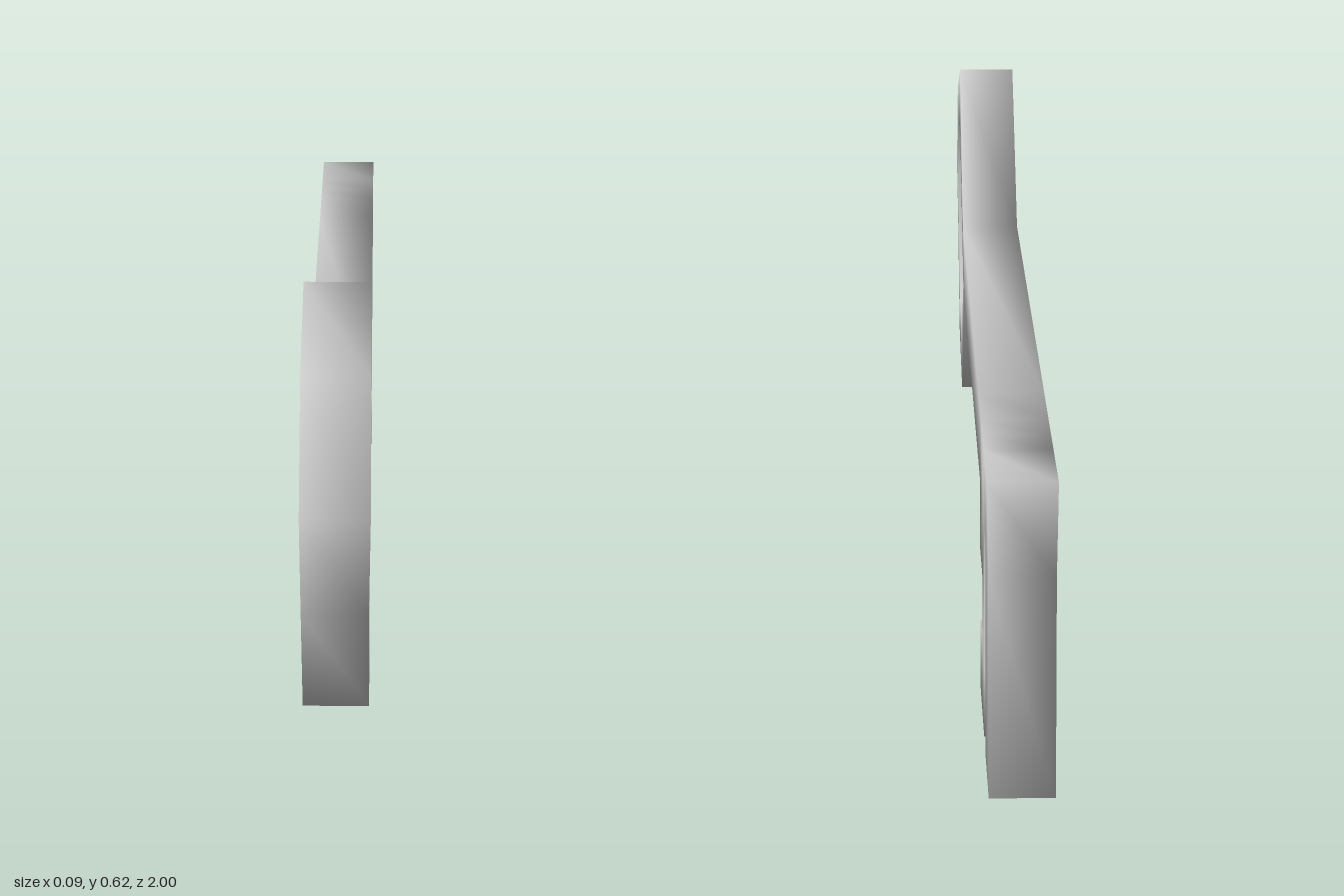
import * as THREE from 'three';

// Builds a softly shaded plate from quads given as [z, y] corners.
// Both faces are filled, and every edge used by a single quad gets a side wall.
function plate(quads, halfWidth) {
  const position = [], index = [], ids = new Map(), edges = new Map();
  const vertex = ([z, y]) => {
    const key = `${z},${y}`;
    if (!ids.has(key)) {
      ids.set(key, position.length / 3);
      const w = halfWidth(y);
      position.push(w, y, z, -w, y, z);
    }
    return ids.get(key); // +x vertex; the -x twin is the next index
  };
  const quad = (a, b, c, d) => index.push(a, b, c, a, c, d);

  for (let corners of quads) {
    // Counter-clockwise as seen from +x
    const area = corners.reduce((sum, [z, y], i) => {
      const [z2, y2] = corners[(i + 1) % 4];
      return sum + z2 * y - z * y2;
    }, 0);
    if (area < 0) corners = [...corners].reverse();
    const [a, b, c, d] = corners.map(vertex);
    quad(a, b, c, d);
    quad(d + 1, c + 1, b + 1, a + 1);
    for (const [p, q] of [[a, b], [b, c], [c, d], [d, a]]) {
      if (!edges.delete(`${q},${p}`)) edges.set(`${p},${q}`, [p, q]);
    }
  }
  for (const [p, q] of edges.values()) quad(q, p, p + 1, q + 1);

  const geometry = new THREE.BufferGeometry();
  geometry.setAttribute('position', new THREE.Float32BufferAttribute(position, 3));
  geometry.setIndex(index);
  geometry.computeVertexNormals();
  return geometry;
}

const rect = (z0, z1, y0, y1) => [[z0, y0], [z1, y0], [z1, y1], [z0, y1]];

export function createModel() {
  const top = 0.405, base = 0.285;
  const quads = [];

  // Bow: faceted ring between an outer and an inner outline
  const outer = [[0.455, top], [0.685, 0.622], [0.895, 0.557], [1, top],
    [1, base], [0.905, 0.13], [0.68, 0.078], [0.455, base]];
  const inner = [[0.55, 0.403], [0.7, 0.525], [0.845, 0.5], [0.905, 0.403],
    [0.905, base], [0.86, 0.19], [0.7, 0.17], [0.55, base]];
  outer.forEach((p, i) => {
    const j = (i + 1) % outer.length;
    quads.push([p, outer[j], inner[j], inner[i]]);
  });

  // Shaft, split where the bit meets it
  const stops = [0.455, -0.58, -0.715, -0.785, -0.855, -1];
  for (let i = 0; i < stops.length - 1; i++) {
    quads.push(rect(stops[i], stops[i + 1], base, top));
  }

  // Bit: notched tooth, then the plain end tooth
  const levels = [base, 0.19, 0.09, 0];
  for (let i = 0; i < 3; i++) {
    quads.push(rect(-0.715, -0.785, levels[i + 1], levels[i]));
    if (i !== 1) quads.push(rect(-0.58, -0.715, levels[i + 1], levels[i]));
  }
  quads.push(rect(-0.855, -1, 0, base));

  const key = new THREE.Mesh(
    plate(quads, (y) => (y > 0.3 ? 0.0435 : 0.0415)),
    new THREE.MeshStandardMaterial({ color: 0xcccccc })
  );
  key.name = 'key';

  const model = new THREE.Group();
  model.name = 'oldKey';
  model.add(key);
  return model;
}
